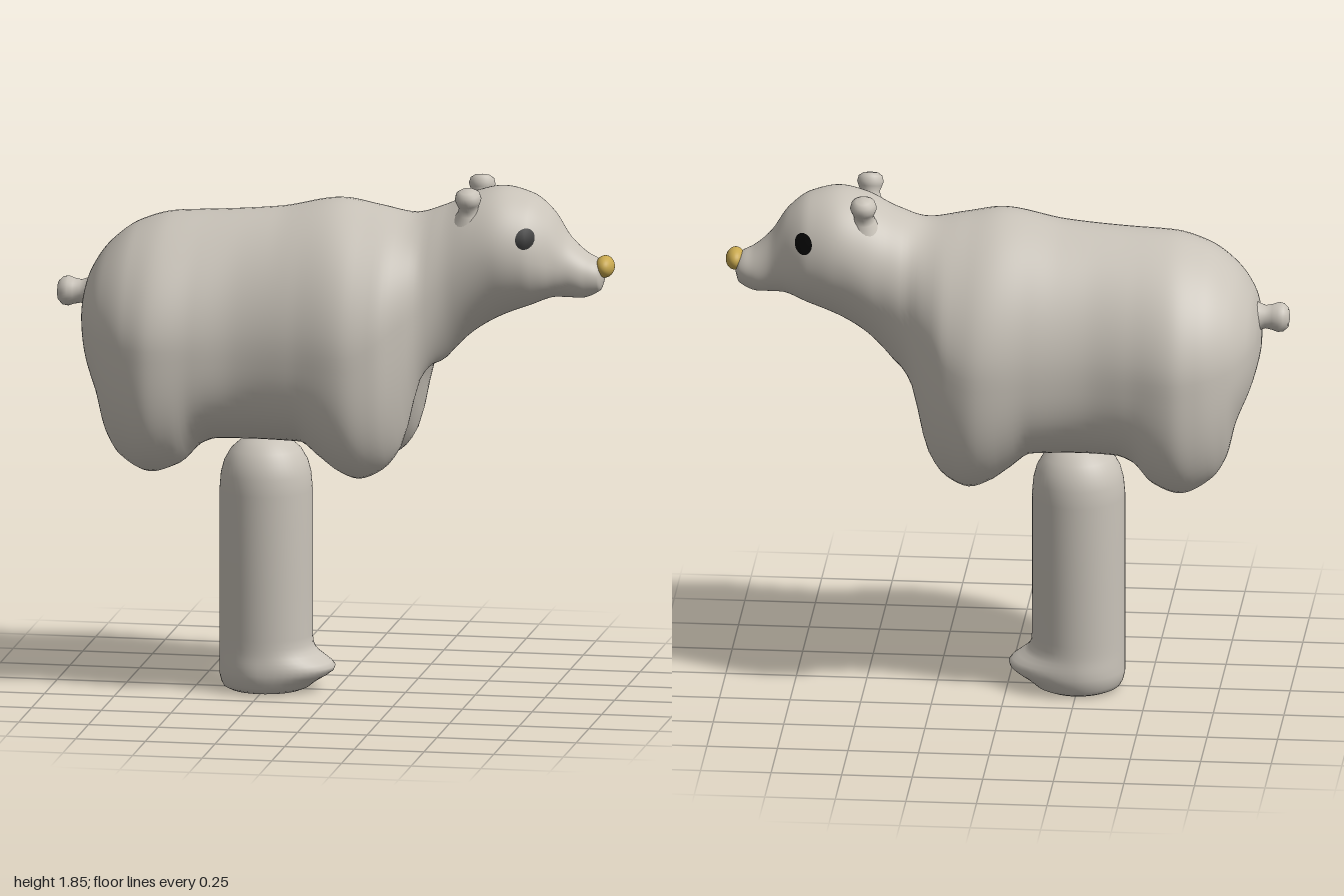
import * as THREE from 'three';
import { mergeVertices } from 'three/addons/utils/BufferGeometryUtils.js';

// Monotone cubic curve through [x, value] pairs
function profile(pts) {
  const n = pts.length;
  const d = pts.slice(1).map((p, i) => (p[1] - pts[i][1]) / (p[0] - pts[i][0]));
  const m = pts.map((_, i) => {
    if (i === 0) return d[0];
    if (i === n - 1) return d[n - 2];
    return d[i - 1] * d[i] > 0 ? (2 * d[i - 1] * d[i]) / (d[i - 1] + d[i]) : 0;
  });
  return (x) => {
    let i = 0;
    while (i < n - 2 && x > pts[i + 1][0]) i++;
    const h = pts[i + 1][0] - pts[i][0];
    const t = THREE.MathUtils.clamp((x - pts[i][0]) / h, 0, 1);
    const t2 = t * t, t3 = t2 * t;
    return (2 * t3 - 3 * t2 + 1) * pts[i][1] + (t3 - 2 * t2 + t) * h * m[i]
      + (3 * t2 - 2 * t3) * pts[i + 1][1] + (t3 - t2) * h * m[i + 1];
  };
}

// Body outline along x: back line, widest level, underside, half width
const top = profile([[-0.9, 1.35], [-0.893, 1.42], [-0.87, 1.5], [-0.8, 1.6], [-0.7, 1.672], [-0.58, 1.708],
  [-0.4, 1.72], [-0.2, 1.738], [0.02, 1.778], [0.15, 1.757], [0.28, 1.735], [0.4, 1.77], [0.5, 1.82],
  [0.6, 1.842], [0.7, 1.82], [0.78, 1.76], [0.84, 1.67], [0.9, 1.615], [0.95, 1.585], [0.97, 1.535]]);
const mid = profile([[-0.9, 1.35], [-0.8, 1.3], [-0.6, 1.28], [0.1, 1.28], [0.3, 1.4], [0.45, 1.54],
  [0.6, 1.62], [0.7, 1.61], [0.8, 1.58], [0.9, 1.535], [0.97, 1.535]]);
const bottom = profile([[-0.9, 1.35], [-0.895, 1.27], [-0.87, 1.15], [-0.82, 1.02], [-0.79, 0.9], [-0.74, 0.83],
  [-0.63, 0.785], [-0.53, 0.82], [-0.46, 0.895], [-0.4, 0.915], [-0.1, 0.915], [-0.02, 0.86], [0.05, 0.81],
  [0.12, 0.785], [0.2, 0.81], [0.27, 0.89], [0.3, 1.02], [0.33, 1.13], [0.4, 1.22], [0.5, 1.32],
  [0.6, 1.38], [0.7, 1.42], [0.8, 1.453], [0.88, 1.452], [0.95, 1.48], [0.97, 1.535]]);
const halfWidth = profile([[-0.9, 0], [-0.89, 0.13], [-0.86, 0.23], [-0.8, 0.315], [-0.7, 0.385], [-0.61, 0.41],
  [-0.45, 0.38], [-0.3, 0.36], [-0.1, 0.38], [0.08, 0.41], [0.2, 0.375], [0.28, 0.31], [0.35, 0.25],
  [0.45, 0.22], [0.6, 0.215], [0.7, 0.193], [0.75, 0.163], [0.8, 0.122], [0.84, 0.1], [0.9, 0.085],
  [0.95, 0.063], [0.97, 0]]);
// Groove between paired legs, and squareness of the lower section
const groove = profile([[-0.9, 0], [-0.8, 0.1], [-0.63, 0.075], [-0.45, 0], [-0.08, 0], [0.12, 0.08],
  [0.28, 0.15], [0.33, 0.08], [0.4, 0], [0.97, 0]]);
const square = profile([[-0.9, 2.2], [-0.63, 3], [-0.25, 2.6], [0.12, 3], [0.28, 2.8], [0.4, 2.1], [0.5, 2], [0.97, 2]]);

function bodyPoint(x, angle) {
  const c = Math.cos(angle), s = Math.sin(angle);
  const low = s < 0;
  const n = low ? square(x) : 2 - 0.2 * (square(x) - 2);
  const r = Math.pow(Math.pow(Math.abs(c), n) + Math.pow(Math.abs(s), n), -1 / n);
  const z = halfWidth(x) * c * r;
  let y = mid(x) + s * r * (low ? mid(x) - bottom(x) : top(x) - mid(x));
  if (low) y += groove(x) * Math.exp(-((z / 0.12) ** 2)) * s * s;
  return [x, y, z];
}

function bodyGeometry(rings = 140, sides = 80) {
  const pos = [], index = [];
  for (let i = 0; i <= rings; i++) {
    const x = 0.035 - 0.935 * Math.cos((Math.PI * i) / rings);
    for (let j = 0; j < sides; j++) {
      pos.push(...bodyPoint(x, (2 * Math.PI * j) / sides));
      if (i === rings) continue;
      const a = i * sides + j, b = i * sides + ((j + 1) % sides);
      index.push(a, a + sides, b, b, a + sides, b + sides);
    }
  }
  const g = new THREE.BufferGeometry();
  g.setAttribute('position', new THREE.Float32BufferAttribute(pos, 3));
  g.setIndex(index);
  return smooth(g);
}

// Weld seams and smooth the normals
function smooth(g) {
  g.deleteAttribute('normal');
  g.deleteAttribute('uv');
  const w = mergeVertices(g, 1e-4);
  w.computeVertexNormals();
  return w;
}

function turned(points, sides = 32) {
  return new THREE.LatheGeometry(points.map(([r, y]) => new THREE.Vector2(r, y)), sides);
}

// Post with a foot pushed out toward +x
function postGeometry() {
  const g = turned([[0, 0.005], [0.07, 0.003], [0.13, 0.005], [0.15, 0.015], [0.158, 0.03], [0.162, 0.045],
    [0.165, 0.06], [0.165, 0.075], [0.165, 0.09], [0.165, 0.105], [0.165, 0.12], [0.165, 0.135], [0.165, 0.15],
    [0.165, 0.17], [0.165, 0.2], [0.165, 0.4], [0.165, 0.72], [0.16, 0.78], [0.148, 0.825], [0.125, 0.865],
    [0.09, 0.897], [0.05, 0.913], [0, 0.918]], 48);
  const p = g.attributes.position;
  for (let i = 0; i < p.count; i++) {
    const bulge = Math.exp(-(((p.getY(i) - 0.087) / 0.045) ** 2));
    if (p.getX(i) > 0) p.setX(i, p.getX(i) * (1 + 0.5 * bulge));
    p.setZ(i, p.getZ(i) * (1.01 + 0.04 * bulge));
  }
  return smooth(g);
}

// Thin disc laid over the side of the head
function eyeGeometry(side) {
  const g = new THREE.RingGeometry(0, 1, 24, 4);
  const p = g.attributes.position;
  for (let i = 0; i < p.count; i++) {
    const x = 0.71 + 0.032 * p.getX(i), y = 1.69 + 0.036 * p.getY(i);
    const k = (y - mid(x)) / (top(x) - mid(x));
    p.setXYZ(i, x, y, side * (halfWidth(x) * Math.sqrt(Math.max(0, 1 - k * k)) + 0.004));
  }
  return smooth(g);
}

export function createModel() {
  const model = new THREE.Group();
  model.name = 'bearOnPost';
  const material = (name, color, side = THREE.FrontSide) => {
    const m = new THREE.MeshStandardMaterial({ color, side });
    m.name = name;
    return m;
  };
  const stone = material('warmGrey', 0xc9c3b9);
  const gold = material('gold', 0xc9a94f);
  const black = material('black', 0x060606, THREE.DoubleSide);
  const add = (name, geometry, mat, x = 0, y = 0, z = 0) => {
    const mesh = new THREE.Mesh(geometry, mat);
    mesh.name = name;
    mesh.position.set(x, y, z);
    model.add(mesh);
    return mesh;
  };

  add('body', bodyGeometry(), stone);
  add('postWithFoot', postGeometry(), stone, -0.25);

  // Tail knob
  const tail = smooth(turned([[0.075, -0.03], [0.05, 0], [0.041, 0.025], [0.046, 0.05], [0.053, 0.07],
    [0.05, 0.09], [0.034, 0.106], [0, 0.112]]));
  tail.rotateZ(Math.PI / 2);
  add('tail', tail, stone, -0.888, 1.407);

  // Nose
  const nose = new THREE.SphereGeometry(1, 32, 20);
  nose.scale(0.034, 0.039, 0.055);
  add('nose', nose, gold, 0.966, 1.566);

  // Ears and eyes on both sides
  const ear = smooth(turned([[0.06, -0.03], [0.04, 0], [0.034, 0.02], [0.042, 0.04], [0.047, 0.055],
    [0.042, 0.075], [0.026, 0.086], [0, 0.089]]));
  for (const side of [1, -1]) {
    const label = side > 0 ? 'Near' : 'Far';
    add('ear' + label, ear, stone, 0.5, 1.767, side * 0.122).rotation.x = side * 0.3;
    add('eye' + label, eyeGeometry(side), black);
  }
  return model;
}
